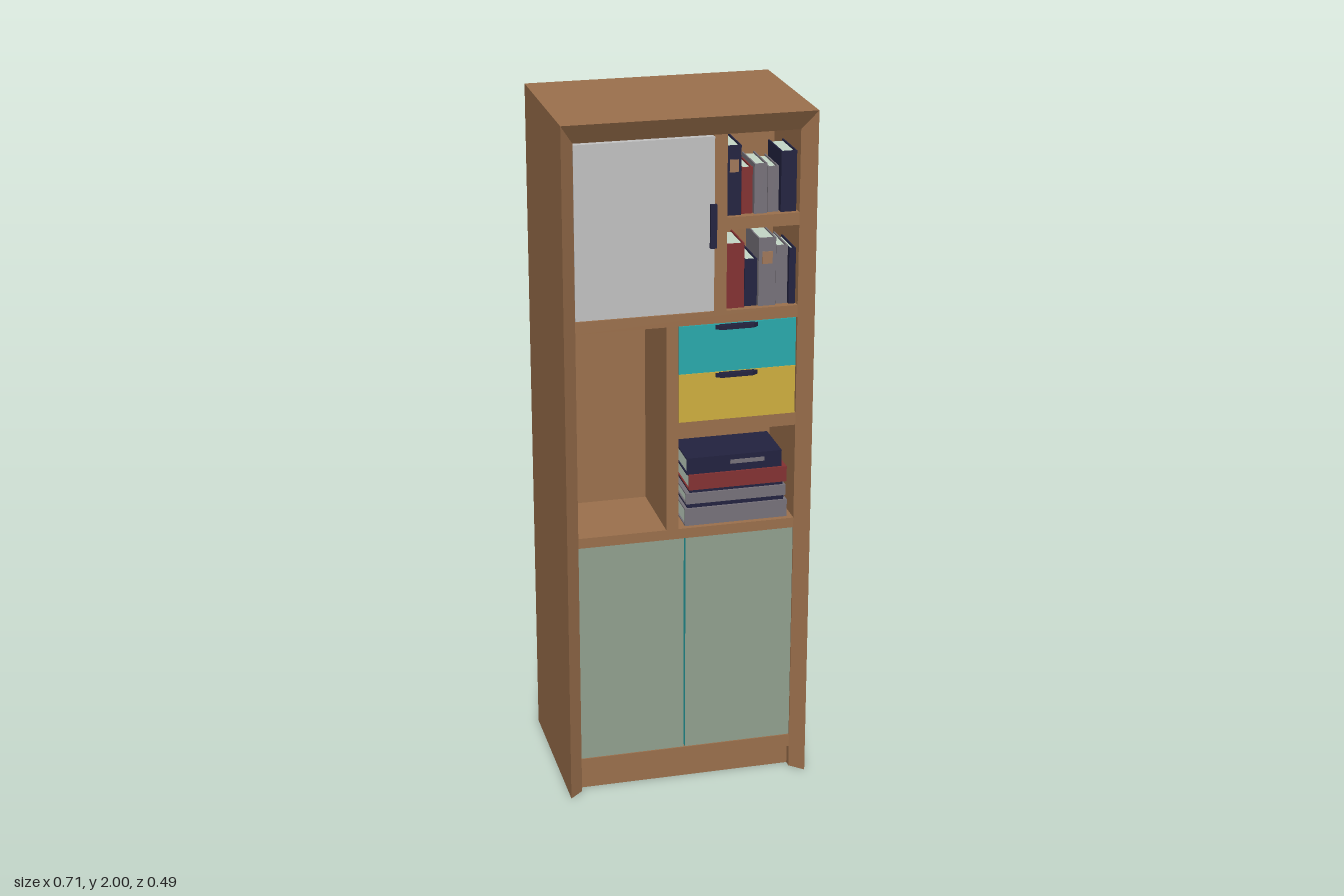
import * as THREE from 'three';

const mat = (name, color, side = THREE.FrontSide) => {
  const m = new THREE.MeshStandardMaterial({ color, side });
  m.name = name;
  return m;
};

export function createModel() {
  const wood = mat('wood', 0x9b704c);
  const grey = mat('greyDoorPaint', 0xc2c2c2);
  const sage = mat('sageDoorPaint', 0x91a08f);
  const teal = mat('tealPaint', 0x28aaac);
  const yellow = mat('yellowPaint', 0xcfaf3e);
  const navy = mat('navy', 0x222240);
  const red = mat('redCover', 0x843132);
  const stone = mat('stoneCover', 0x77727a);
  const tan = mat('tanLabel', 0xa0785a);
  const paper = mat('paper', 0xc4d6c6);

  const root = new THREE.Group();
  root.name = 'bookcase';

  const W = 0.353, D = 0.246, IN = 0.314, FACE = 0.211, BACK = -0.04;

  const add = (parent, name, geometry, material) => {
    const m = new THREE.Mesh(geometry, material);
    m.name = name;
    parent.add(m);
    return m;
  };
  // Box given by its limits on each axis
  const box = (parent, name, material, x0, x1, y0, y1, z0, z1) => {
    const m = add(parent, name, new THREE.BoxGeometry(x1 - x0, y1 - y0, z1 - z0), material);
    m.position.set((x0 + x1) / 2, (y0 + y1) / 2, (z0 + z1) / 2);
    return m;
  };
  const extrude = (points, depth) => new THREE.ExtrudeGeometry(
    new THREE.Shape(points.map(p => new THREE.Vector2(...p))),
    { depth, bevelEnabled: false });

  // Side panels with the front edge bevelled inwards
  for (const s of [-1, 1]) {
    const g = extrude([[s * W, -D], [s * IN, -FACE], [s * IN, D], [s * W, D]], 2);
    g.rotateX(-Math.PI / 2);
    add(root, s < 0 ? 'rightSidePanel' : 'leftSidePanel', g, wood);
  }
  // Top panel with the same bevel, mitred against the sides
  const top = extrude([[-D, 2], [-FACE, 1.942], [D, 1.942], [D, 2]], 2 * W);
  top.rotateY(Math.PI / 2).translate(-W, 0, 0);
  add(root, 'topPanel', top, wood);

  box(root, 'backPanel', wood, -W, W, 0, 2, -D, BACK);
  box(root, 'plinth', wood, -IN, IN, 0, 0.068, BACK, 0.19);

  // Shelves and uprights: x0, x1, y0, y1
  const boards = [
    ['bottomRail', -IN, IN, 0.066, 0.105],
    ['middleShelf', -IN, IN, 0.775, 0.805],
    ['upperShelf', -IN, IN, 1.41, 1.445],
    ['middleUpright', -0.06, -0.025, 0.805, 1.41],
    ['drawerShelf', -0.025, IN, 1.09, 1.128],
    ['upperUpright', 0.073, 0.11, 1.445, 1.942],
    ['bookShelf', 0.11, IN, 1.675, 1.71],
  ];
  for (const [name, x0, x1, y0, y1] of boards) box(root, name, wood, x0, x1, y0, y1, BACK, FACE);

  // Lower pair of doors, teal on the edges
  const edged = [teal, teal, teal, teal, sage, sage];
  box(root, 'lowerDoorRight', edged, -IN, -0.008, 0.105, 0.775, 0.185, 0.207);
  box(root, 'lowerDoorLeft', edged, -0.003, IN, 0.105, 0.775, 0.185, 0.207);

  // Upper door with its bar handle
  box(root, 'upperDoor', grey, -IN, 0.074, 1.448, 1.938, 0.19, 0.214);
  const handle = new THREE.Group();
  handle.name = 'upperDoorHandle';
  root.add(handle);
  box(handle, 'handleBar', navy, 0.058, 0.076, 1.632, 1.755, 0.224, 0.234);
  for (const y of [1.645, 1.73]) box(handle, 'handlePost', navy, 0.061, 0.073, y, y + 0.012, 0.213, 0.226);

  // Drawers, each with a curved pull at the top edge
  for (const [name, color, y0, y1] of [['yellowDrawer', yellow, 1.128, 1.27], ['tealDrawer', teal, 1.27, 1.41]]) {
    const drawer = new THREE.Group();
    drawer.name = name;
    root.add(drawer);
    box(drawer, 'drawerFront', color, -0.024, 0.31, y0, y1 - 0.001, 0.18, 0.213);
    const pull = extrude([[-0.062, 0], [-0.045, -0.012], [0.045, -0.012], [0.062, 0]], 0.012);
    pull.rotateX(-Math.PI / 2).translate(0.14, y1 - 0.016, 0.212);
    add(drawer, 'drawerPull', pull, navy);
    box(drawer, 'pullLip', navy, 0.09, 0.19, y1 - 0.008, y1 - 0.002, 0.2125, 0.216);
  }

  // A book standing at the origin: spine to the front, pages set in
  const makeBook = (cover, w, h, d, label) => {
    const b = new THREE.Group();
    b.name = 'book';
    const t = 0.004;
    box(b, 'spine', cover, -w / 2, w / 2, 0, h, -t, 0);
    for (const s of [-1, 1]) {
      const a = s * w / 2, c = a - s * t;
      box(b, 'cover', cover, Math.min(a, c), Math.max(a, c), 0, h, -d, -t);
    }
    box(b, 'pages', paper, -w / 2 + t, w / 2 - t, 0.004, h - 0.005, -d + 0.005, -t);
    if (label) box(b, 'spineLabel', label, -w * 0.3, w * 0.3, h * 0.62, h * 0.8, -0.001, 0.002);
    root.add(b);
    return b;
  };

  // Rows of standing books: cover, x0, x1, height, label
  const rows = [
    [1.71, [[navy, 0.112, 0.153, 0.195, tan], [red, 0.156, 0.187, 0.13], [stone, 0.19, 0.226, 0.14],
      [stone, 0.23, 0.261, 0.128], [navy, 0.265, 0.309, 0.17]]],
    [1.445, [[red, 0.112, 0.164, 0.185], [navy, 0.167, 0.203, 0.135], [stone, 0.205, 0.254, 0.195, tan],
      [stone, 0.257, 0.29, 0.168], [navy, 0.292, 0.311, 0.16]]],
  ];
  for (const [y, books] of rows) {
    books.forEach(([cover, x0, x1, h, label], i) => {
      makeBook(cover, x1 - x0, h, 0.13, label).position.set((x0 + x1) / 2, y, 0.195 - (i % 2) * 0.008);
    });
  }

  // Pile of lying books: cover, x0, x1, y0, y1
  const pile = [
    [stone, -0.003, 0.297, 0.807, 0.859], [navy, 0.005, 0.288, 0.859, 0.873],
    [stone, 0.0, 0.292, 0.873, 0.905], [navy, 0.012, 0.285, 0.905, 0.915],
    [red, 0.008, 0.295, 0.915, 0.961], [navy, 0.003, 0.281, 0.961, 1.01],
  ];
  pile.forEach(([cover, x0, x1, y0, y1], i) => {
    const b = makeBook(cover, y1 - y0, x1 - x0, 0.15);
    b.rotation.z = -Math.PI / 2;
    b.position.set(x0, (y0 + y1) / 2, 0.2 - (i % 2) * 0.006);
  });
  box(root, 'pileLabel', stone, 0.13, 0.23, 0.983, 0.995, 0.19, 0.196);

  return root;
}
